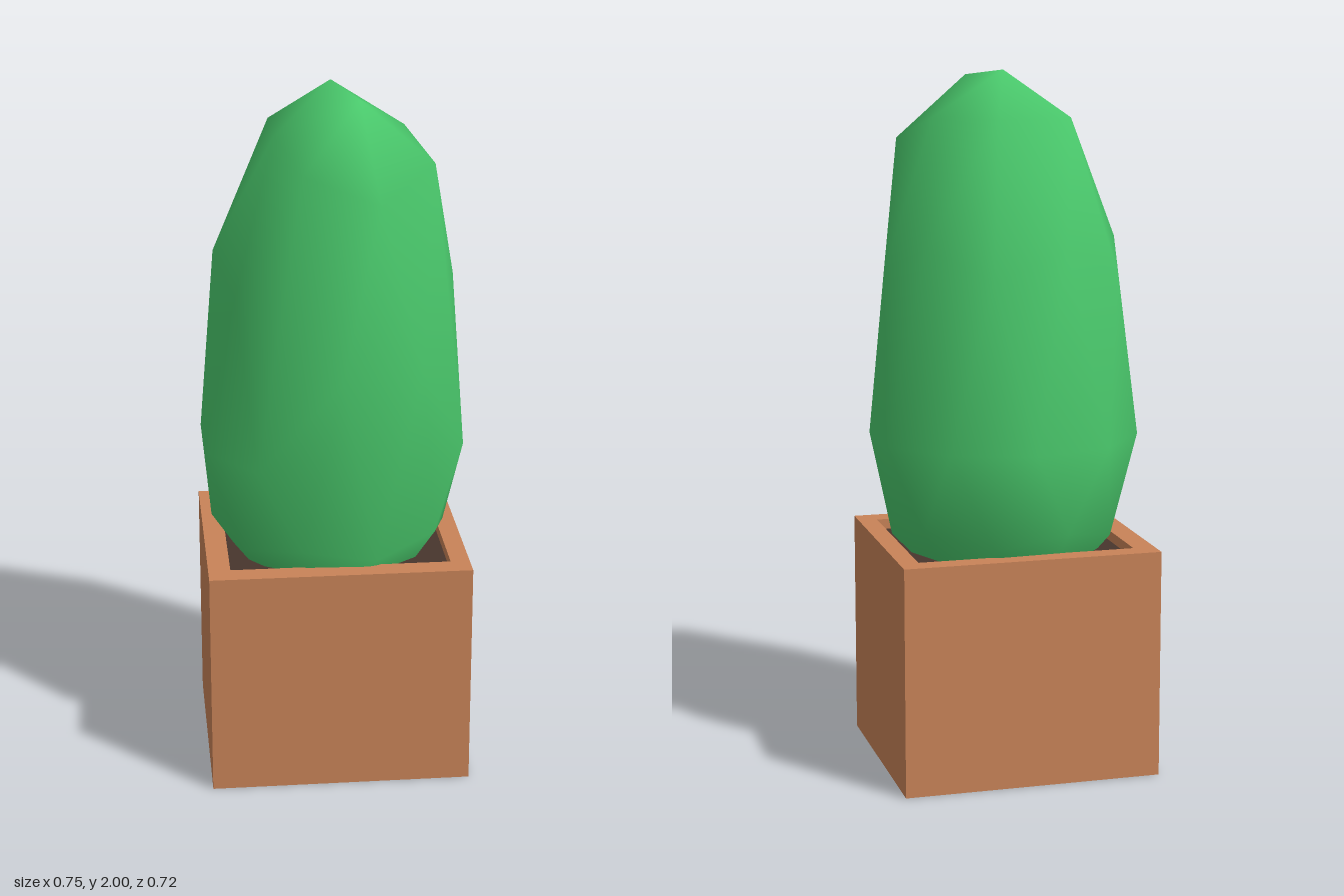
import * as THREE from 'three';
import { mergeVertices } from 'three/addons/utils/BufferGeometryUtils.js';

const terracotta = new THREE.MeshStandardMaterial({ color: 0xc88358, side: THREE.DoubleSide });
terracotta.name = 'terracotta';
const leafGreen = new THREE.MeshStandardMaterial({ color: 0x4ac96c });
leafGreen.name = 'leafGreen';
const soilBrown = new THREE.MeshStandardMaterial({ color: 0x48352d, side: THREE.DoubleSide });
soilBrown.name = 'soilBrown';

const POT = { w: 0.746, d: 0.664, h: 0.66 };
const HOLE = { w: 0.628, d: 0.535, x: 0.004, z: -0.002 };
const SOIL_Y = 0.63;

function addMesh(group, name, geometry, material) {
  const mesh = new THREE.Mesh(geometry, material);
  mesh.name = name;
  group.add(mesh);
  return mesh;
}

// Four flat walls without top or bottom
function openBox(w, h, d) {
  const g = new THREE.CylinderGeometry(Math.SQRT1_2, Math.SQRT1_2, h, 4, 1, true, Math.PI / 4).toNonIndexed();
  g.scale(w, 1, d);
  g.computeVertexNormals();
  return g;
}

function createPot() {
  const pot = new THREE.Group();
  pot.name = 'pot';
  addMesh(pot, 'outerWalls', openBox(POT.w, POT.h, POT.d), terracotta).position.y = POT.h / 2;

  // Flat rim around the opening
  const rect = (Type, w, d, x, y) => new Type([[-1, -1], [1, -1], [1, 1], [-1, 1]]
    .map(([a, b]) => new THREE.Vector2(x + a * w / 2, y + b * d / 2)));
  const rim = rect(THREE.Shape, POT.w, POT.d, 0, 0);
  rim.holes.push(rect(THREE.Path, HOLE.w, HOLE.d, HOLE.x, -HOLE.z));
  addMesh(pot, 'rim', new THREE.ShapeGeometry(rim).rotateX(-Math.PI / 2), terracotta).position.y = POT.h;

  // Short inner walls down to the soil
  const depth = POT.h - SOIL_Y;
  addMesh(pot, 'innerWalls', openBox(HOLE.w, depth, HOLE.d), terracotta)
    .position.set(HOLE.x, SOIL_Y + depth / 2, HOLE.z);
  addMesh(pot, 'soil', new THREE.PlaneGeometry(HOLE.w, HOLE.d).rotateX(-Math.PI / 2), soilBrown)
    .position.set(HOLE.x, SOIL_Y, HOLE.z);
  return pot;
}

// Egg-shaped plant: a coarse sphere, stretched upward, with one shoulder raised
function createPlantGeometry() {
  let g = new THREE.IcosahedronGeometry(1, 1);
  g.deleteAttribute('normal');
  g.deleteAttribute('uv');
  g.rotateZ(-Math.atan(2 / (1 + Math.sqrt(5)))); // one corner straight up
  g = mergeVertices(g, 1e-3);

  const a = THREE.MathUtils.degToRad(72);
  const shoulder = new THREE.Vector3(0.894 * Math.cos(a), 0.447, 0.894 * Math.sin(a));
  const p = g.attributes.position;
  const v = new THREE.Vector3();
  for (let i = 0; i < p.count; i++) {
    v.fromBufferAttribute(p, i);
    const raise = v.distanceTo(shoulder) < 0.7 ? 0.28 : 0;
    const y = 0.96 + v.y * (v.y > 0 ? 1.07 : 0.53) + raise;
    p.setXYZ(i, v.x * 0.39, Math.min(y, v.y > 0.99 ? 2 : 1.98), v.z * 0.362);
  }
  g.computeVertexNormals();
  return g;
}

export function createModel() {
  const model = new THREE.Group();
  model.name = 'pottedPlant';
  model.add(createPot());
  addMesh(model, 'plant', createPlantGeometry(), leafGreen);
  return model;
}
